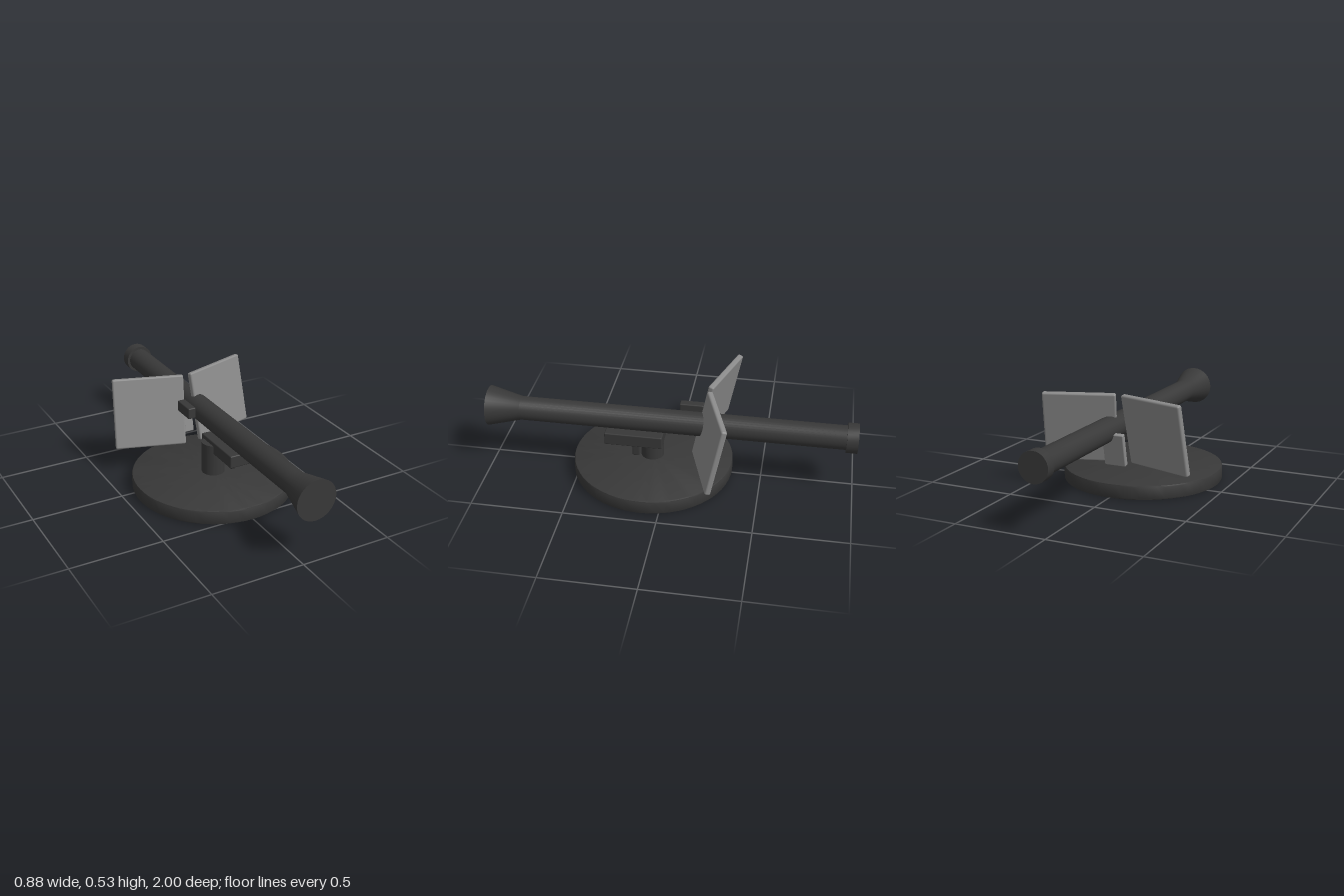
import * as THREE from 'three';
import { RoundedBoxGeometry } from 'three/addons/geometries/RoundedBoxGeometry.js';
import { toCreasedNormals } from 'three/addons/utils/BufferGeometryUtils.js';

const darkMetal = new THREE.MeshStandardMaterial({ color: 0x383838 });
darkMetal.name = 'dark metal';
const greyPlate = new THREE.MeshStandardMaterial({ color: 0x8a8a8a });
greyPlate.name = 'grey plate';

export function createModel() {
  const model = new THREE.Group();
  model.name = 'mountedTube';

  const add = (name, geometry, material, x, y, z) => {
    const mesh = new THREE.Mesh(geometry, material);
    mesh.name = name;
    mesh.position.set(x, y, z);
    model.add(mesh);
    return mesh;
  };
  const box = (name, material, size, pos, radius = 0.006) =>
    add(name, new RoundedBoxGeometry(...size, 2, radius), material, ...pos);
  // Turned solid from [radius, height] pairs, with sharp steps
  const turned = (points, sides) => toCreasedNormals(
    new THREE.LatheGeometry(points.map(([r, h]) => new THREE.Vector2(r, h)), sides), 0.6);

  // Round base with softened rims
  add('base', turned([[0, 0], [0.43, 0], [0.437, 0.003], [0.44, 0.01],
    [0.44, 0.07], [0.437, 0.077], [0.43, 0.08], [0, 0.08]], 64), darkMetal, 0, 0, 0.1);

  // Post, cradle and grip
  add('post', new THREE.CylinderGeometry(0.063, 0.063, 0.187, 32), darkMetal, 0, 0.1635, 0.105);
  box('cradle', darkMetal, [0.17, 0.07, 0.315], [0.055, 0.245, 0.188]);
  box('grip', darkMetal, [0.03, 0.115, 0.04], [0.071, 0.1725, 0.183]);

  // Long tube with rear collar and flared muzzle, along z
  const tube = add('tube', turned([[0, -1], [0.08, -1], [0.08, -0.94], [0.065, -0.94],
    [0.065, 0.82], [0.11, 1], [0, 1]], 32), darkMetal, 0.055, 0.34, 0);
  tube.rotation.x = Math.PI / 2;

  // Sight block beside the tube
  box('sight', darkMetal, [0.045, 0.062, 0.13], [-0.05, 0.37, -0.105]);

  // Pair of shields, swept back and leaning back
  const lean = -0.205;
  for (const side of [-1, 1]) {
    const shield = box(side < 0 ? 'rightShield' : 'leftShield', greyPlate,
      [0.392, 0.392, 0.032], [side * 0.217, 0.338, -0.232], 0.01);
    shield.rotation.order = 'YXZ';
    shield.rotation.set(lean, side * 0.314, 0);
  }

  // Bracket joining the shields behind the seam
  const bracket = box('shieldBracket', greyPlate, [0.12, 0.18, 0.03], [0, 0.245, -0.262]);
  bracket.rotation.x = lean;

  return model;
}
